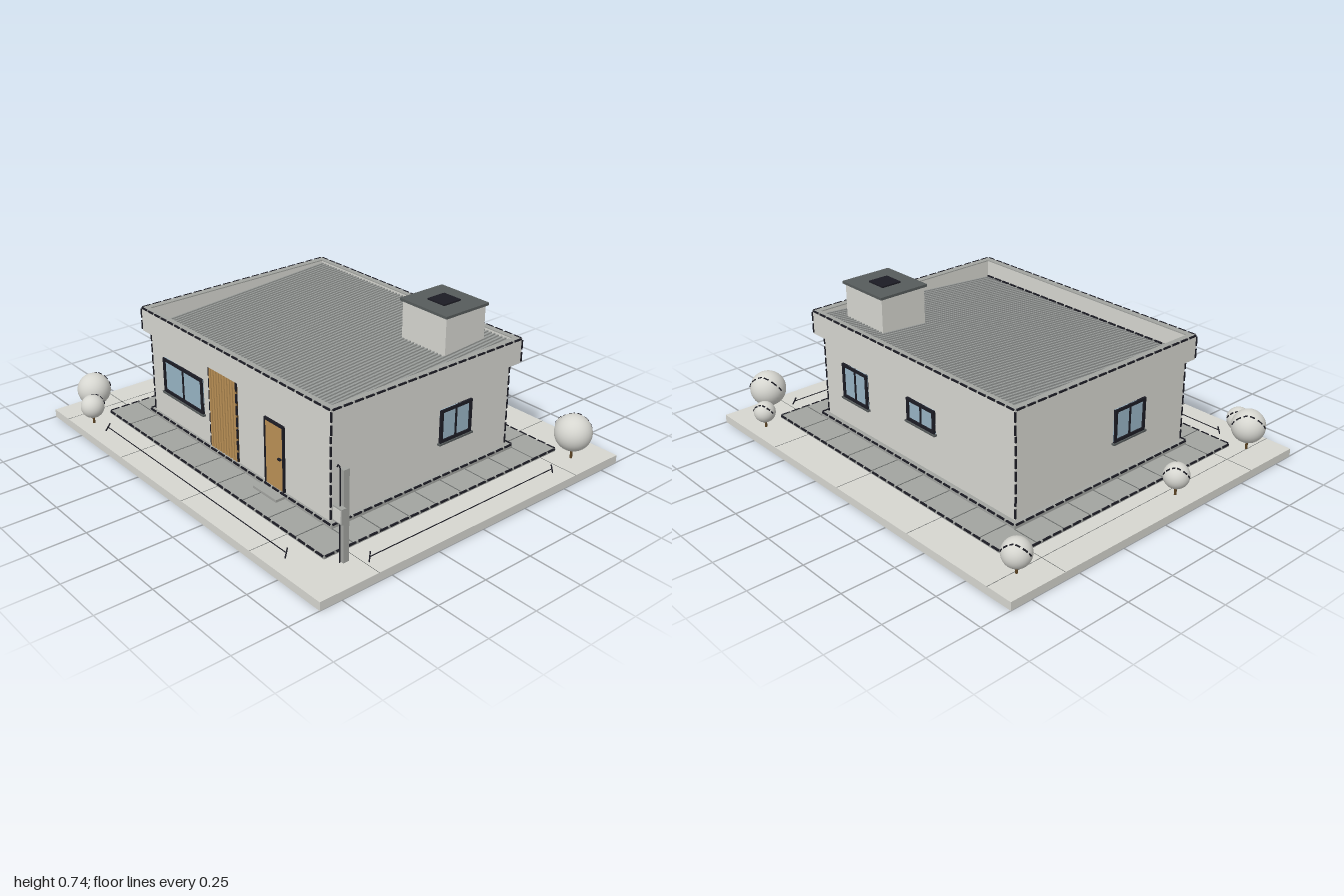
import * as THREE from 'three';
import { mergeGeometries } from 'three/addons/utils/BufferGeometryUtils.js';

const mat = (name, color) => new THREE.MeshStandardMaterial({ name, color });

export function createModel() {
  const root = new THREE.Group();
  root.name = 'house';
  const M = {
    plaster: mat('plaster', 0xd6d6d0),
    paving: mat('paving grey', 0xa2a4a0),
    roof: mat('roof grey', 0x989b99),
    joint: mat('joint grey', 0x6d706e),
    lid: mat('slate lid', 0x565b5b),
    dark: mat('dark frame', 0x1c1c24),
    glass: mat('blue glass', 0x98b4c4),
    wood: mat('wood', 0xba9056),
    brown: mat('dark wood', 0x5c4322),
  };

  const add = (name, geo, material, parent = root) => {
    const mesh = new THREE.Mesh(geo, material);
    mesh.name = name;
    parent.add(mesh);
    return mesh;
  };
  // box geometry from its limits
  const span = (x0, x1, y0, y1, z0, z1) =>
    new THREE.BoxGeometry(x1 - x0, y1 - y0, z1 - z0)
      .translate((x0 + x1) / 2, (y0 + y1) / 2, (z0 + z1) / 2);
  const V = (x, y, z) => new THREE.Vector3(x, y, z);
  const Z = V(0, 0, 1);
  // square bar between two points
  const bar = (a, b, t) => {
    const d = b.clone().sub(a);
    const q = new THREE.Quaternion().setFromUnitVectors(Z, d.clone().normalize());
    return new THREE.BoxGeometry(t, t, d.length()).applyQuaternion(q)
      .translate((a.x + b.x) / 2, (a.y + b.y) / 2, (a.z + b.z) / 2);
  };

  // dashed outlines
  const dashes = [];
  const dash = (a, b, t = 0.007) => {
    const n = Math.max(1, Math.round(a.distanceTo(b) / 0.055));
    for (let i = 0; i < n; i++) {
      dashes.push(bar(a.clone().lerp(b, (i + 0.12) / n), a.clone().lerp(b, (i + 0.88) / n), t));
    }
  };
  const dashRect = (x, z0, z1, y) => {
    const c = [V(-x, y, z0), V(x, y, z0), V(x, y, z1), V(-x, y, z1)];
    c.forEach((p, i) => dash(p, c[(i + 1) % 4]));
  };
  const dashCorners = (x, z0, z1, y0, y1) => {
    for (const sx of [-x, x]) for (const z of [z0, z1]) dash(V(sx, y0, z), V(sx, y1, z));
  };

  // site and paving
  add('siteSlab', span(-1, 1, 0, 0.038, -0.855, 0.855), M.plaster);
  add('paving', span(-0.8, 0.8, 0.038, 0.05, -0.675, 0.67), M.paving);
  add('plinth', span(-0.67, 0.67, 0.05, 0.068, -0.53, 0.525), M.paving);
  dashRect(0.8, -0.675, 0.67, 0.049);
  dashRect(0.67, -0.53, 0.525, 0.068);

  // paving joints
  const joints = [];
  for (let i = 0; i < 9; i++) {
    const x = -0.62 + i * 0.177;
    for (const [z0, z1] of [[-0.675, -0.53], [0.525, 0.67]]) {
      joints.push(span(x - 0.002, x + 0.002, 0.05, 0.0515, z0, z1));
    }
  }
  for (let i = 0; i < 8; i++) {
    const z = -0.53 + i * 0.15;
    for (const [x0, x1] of [[-0.8, -0.67], [0.67, 0.8]]) {
      joints.push(span(x0, x1, 0.05, 0.0515, z - 0.002, z + 0.002));
    }
  }
  for (const x of [-0.87, -0.39, 0.09, 0.57]) {
    joints.push(span(x - 0.001, x + 0.001, 0.038, 0.039, -0.855, 0.855));
  }
  for (const z of [-0.575, 0.565]) joints.push(span(-1, 1, 0.038, 0.039, z - 0.001, z + 0.001));
  add('pavingJoints', mergeGeometries(joints), M.joint);

  // walls and parapet ring
  const zb = -0.503, zf = 0.508;
  add('walls', span(-0.645, 0.645, 0.068, 0.475, zb, zf), M.plaster);
  dashCorners(0.645, zb, zf, 0.07, 0.47);
  const rect = (P, x, z0, z1) => new P([[-x, -z1], [x, -z1], [x, -z0], [-x, -z0]].map(p => new THREE.Vector2(...p)));
  const ring = (y, h) => {
    const s = rect(THREE.Shape, 0.677, -0.537, 0.533);
    s.holes.push(rect(THREE.Path, 0.645, -0.51, 0.503));
    return new THREE.ExtrudeGeometry(s, { depth: h, bevelEnabled: false }).rotateX(-Math.PI / 2).translate(0, y, 0);
  };
  add('parapet', ring(0.47, 0.11), M.plaster);
  add('coping', ring(0.58, 0.005), M.paving);
  dashRect(0.677, -0.537, 0.533, 0.583);
  dashCorners(0.677, -0.537, 0.533, 0.47, 0.583);

  // ribbed roof falling towards the front
  const roof = new THREE.Group();
  roof.name = 'roof';
  roof.position.set(0, 0.528, -0.003);
  roof.rotation.x = 0.07;
  root.add(roof);
  add('roofSheet', new THREE.BoxGeometry(1.29, 0.01, 1.012), M.roof, roof);
  const ribs = [];
  for (let x = -0.63; x < 0.64; x += 0.021) ribs.push(span(x - 0.004, x + 0.004, 0.005, 0.012, -0.506, 0.506));
  add('roofRibs', mergeGeometries(ribs), M.roof, roof);
  dash(V(-0.64, 0.508, 0.49), V(0.64, 0.508, 0.49));

  // water tank housing
  add('tankHousing', span(0.283, 0.548, 0.5, 0.725, -0.435, -0.2), M.plaster);
  add('tankLid', span(0.273, 0.558, 0.725, 0.737, -0.445, -0.19), M.lid);
  add('tankHatch', span(0.365, 0.465, 0.737, 0.744, -0.367, -0.267), M.dark);

  // windows, built facing +z and turned to their wall
  const windowUnit = (name, w, y0, y1, x, z, turn) => {
    const g = new THREE.Group();
    g.name = name;
    g.position.set(x, 0, z);
    g.rotation.y = turn;
    root.add(g);
    const h = w / 2, t = 0.014;
    add('windowPane', span(-h, h, y0, y1, -0.002, 0.004), M.glass, g);
    add('windowFrame', mergeGeometries([
      span(-h, -h + t, y0, y1, 0, 0.011), span(h - t, h, y0, y1, 0, 0.011),
      span(-h, h, y0, y0 + t, 0, 0.011), span(-h, h, y1 - t, y1, 0, 0.011),
      span(-0.004, 0.004, y0, y1, 0, 0.009),
    ]), M.dark, g);
    add('windowSill', span(-h - 0.008, h + 0.008, y0 - 0.008, y0, 0, 0.016), M.lid, g);
  };
  windowUnit('frontWindow', 0.315, 0.205, 0.375, -0.385, zf, 0);
  windowUnit('leftWindow', 0.185, 0.217, 0.373, 0.645, -0.178, Math.PI / 2);
  windowUnit('rightWindow', 0.19, 0.217, 0.373, -0.645, 0.152, -Math.PI / 2);
  windowUnit('backWindow', 0.185, 0.205, 0.373, 0.41, zb, Math.PI);
  windowUnit('smallBackWindow', 0.185, 0.265, 0.373, -0.06, zb, Math.PI);

  // wooden slat screen
  add('screenBacking', span(-0.17, 0.03, 0.072, 0.465, zf, zf + 0.004), M.brown);
  const slats = [];
  for (let i = 0; i < 10; i++) {
    const x = -0.16 + i * 0.02;
    slats.push(span(x - 0.006, x + 0.006, 0.075, 0.465, zf, zf + 0.012));
  }
  for (const y of [0.12, 0.4]) slats.push(span(-0.17, 0.03, y - 0.004, y + 0.004, zf, zf + 0.007));
  add('screenSlats', mergeGeometries(slats), M.wood);
  for (const x of [-0.171, 0.031]) dash(V(x, 0.072, zf + 0.008), V(x, 0.466, zf + 0.008));
  dash(V(-0.17, 0.466, zf + 0.008), V(0.03, 0.466, zf + 0.008));

  // door and step
  add('door', span(0.232, 0.348, 0.068, 0.37, zf, zf + 0.007), M.wood);
  add('doorFrame', mergeGeometries([
    span(0.225, 0.232, 0.068, 0.376, zf, zf + 0.011), span(0.348, 0.355, 0.068, 0.376, zf, zf + 0.011),
    span(0.225, 0.355, 0.366, 0.376, zf, zf + 0.011),
  ]), M.dark);
  add('doorHandle', span(0.322, 0.34, 0.215, 0.222, zf, zf + 0.018), M.dark);
  add('doorStep', span(0.213, 0.37, 0.05, 0.062, 0.52, 0.572), M.paving);

  // round trees: x, z, centre height, radius
  const trees = [
    [-0.865, 0.71, 0.153, 0.078], [-0.76, 0.78, 0.125, 0.055], [-0.91, 0.165, 0.13, 0.058],
    [-0.88, -0.715, 0.13, 0.063], [0.77, -0.775, 0.115, 0.05], [0.885, -0.68, 0.165, 0.084],
  ];
  const arc = [V(-0.95, 0.1, 0.25), V(-0.2, 0.85, -0.45), V(0.6, 0.05, -0.8)].map(p => p.normalize());
  for (const [x, z, y, r] of trees) {
    const g = new THREE.Group();
    g.name = 'tree';
    g.position.set(x, 0, z);
    root.add(g);
    add('treeTrunk', new THREE.CylinderGeometry(0.005, 0.006, y - 0.036, 8).translate(0, (y + 0.036) / 2, 0), M.brown, g);
    add('treeCrown', new THREE.SphereGeometry(r, 32, 20).translate(0, y, 0), M.plaster, g);
    const c = V(x, y, z);
    const point = t => arc[t < 1 ? 0 : 1].clone().lerp(arc[t < 1 ? 1 : 2], t % 1)
      .normalize().multiplyScalar(r).add(c);
    for (let i = 0; i < 6; i++) dashes.push(bar(point(i / 3.01), point((i + 0.65) / 3.01), 0.006));
  }

  // meter post with conduit and hook
  add('meterPost', span(0.843, 0.867, 0.038, 0.443, 0.602, 0.63), M.paving);
  add('meterBox', span(0.828, 0.882, 0.222, 0.29, 0.63, 0.652), M.paving);
  add('meterBoxFace', span(0.834, 0.876, 0.229, 0.283, 0.652, 0.654), M.plaster);
  const hook = new THREE.CatmullRomCurve3([
    V(0.855, 0.04, 0.638), V(0.855, 0.3, 0.638), V(0.855, 0.44, 0.638),
    V(0.852, 0.458, 0.638), V(0.843, 0.46, 0.638), V(0.838, 0.45, 0.638),
  ]);
  add('conduit', new THREE.TubeGeometry(hook, 40, 0.003, 6), M.dark);

  // measuring lines with slanted ticks
  const k = 0.024, y = 0.041;
  const ticks = [bar(V(-0.675, y, 0.755), V(0.675, y, 0.755), 0.003), bar(V(0.9, y, -0.535), V(0.9, y, 0.525), 0.003)];
  for (const [x, z] of [[-0.675, 0.755], [0.675, 0.755], [0.9, -0.535], [0.9, 0.525]]) {
    ticks.push(bar(V(x - k, y, z - k), V(x + k, y, z + k), 0.005));
  }
  add('measuringLines', mergeGeometries(ticks), M.dark);

  add('outlineDashes', mergeGeometries(dashes), M.dark);
  return root;
}
